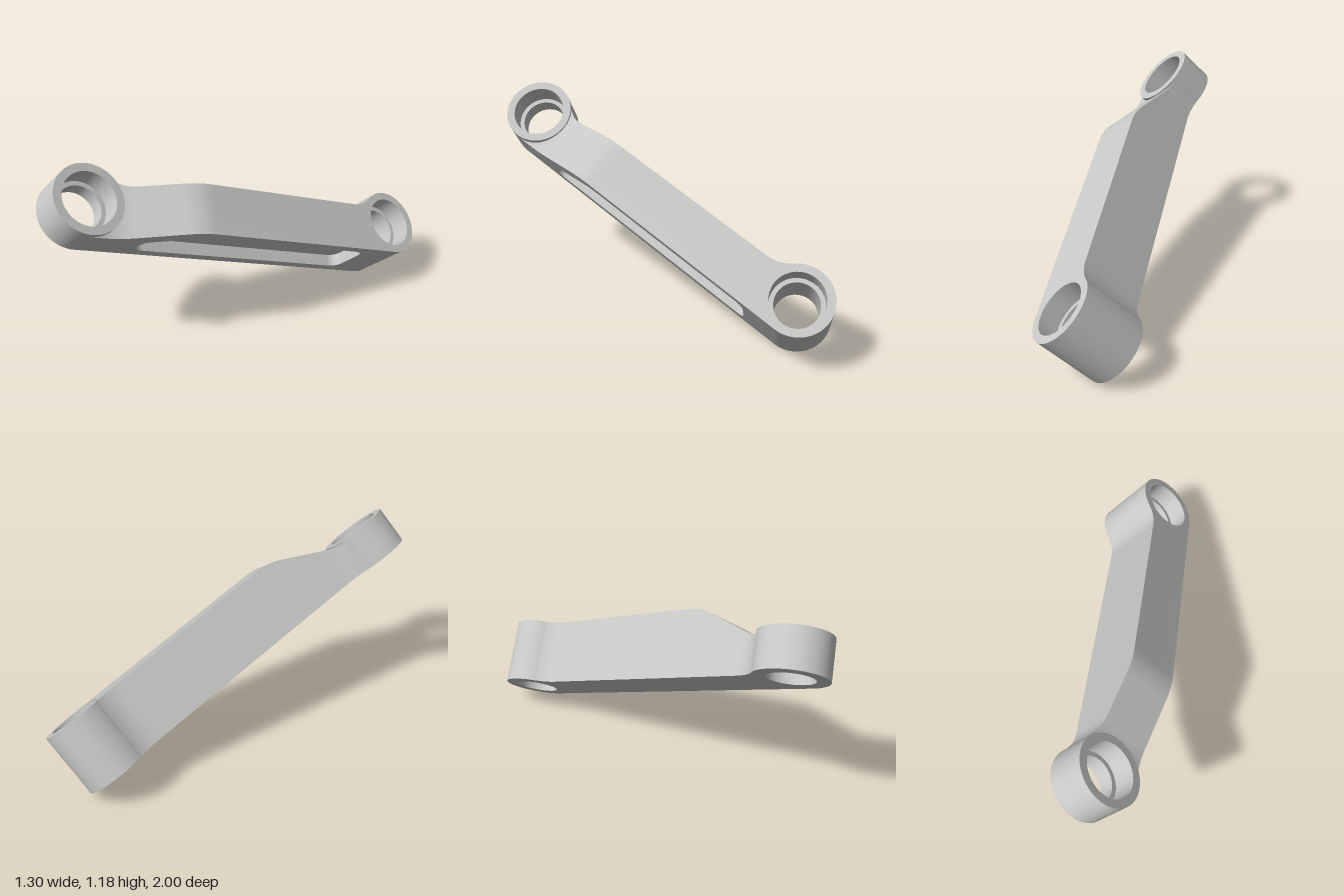
import * as THREE from 'three';
import { toCreasedNormals } from 'three/addons/utils/BufferGeometryUtils.js';

// Local frame: x along the arm, y along the bores, z across the arm
const S = 0.964;          // bore centres at x = +-S
const R = 0.195;          // boss radius
const LOW = 0.191, HIGH = 0.383;
const FLOOR = 0.125;      // z of the pocket floor
const BACK = 0.09, FILLET = 0.2;
const FILLET_X = Math.sqrt((R + FILLET) ** 2 - (BACK + FILLET) ** 2);

// Arm thickness: low end, blended ramp, high end
function topAt(s) {
  const k = (HIGH - LOW) / 0.4;
  if (s < -0.88) return LOW;
  if (s < -0.73) return LOW + k * (s + 0.88) ** 2 / 0.3;
  if (s < -0.48) return LOW + k * (s + 0.805);
  if (s < -0.33) return HIGH - k * (s + 0.33) ** 2 / 0.3;
  return HIGH;
}

// Rear edge of the arm, filleted into the bosses
function backAt(off) {
  if (off > FILLET_X) return -BACK;
  return -BACK - FILLET + Math.sqrt(FILLET ** 2 - (FILLET_X - off) ** 2);
}

// Clearance that keeps the arm inside the boss wall, out of the bore
const clearAt = (off) => Math.sqrt(Math.max(0, 0.17 ** 2 - off ** 2));

// Loft of rectangular sections { s, z0, z1 }
function loft(sections) {
  const pos = [];
  const ring = ({ s, z0, z1 }) => {
    const t = topAt(s);
    return [[s, 0, z0], [s, 0, z1], [s, t, z1], [s, t, z0]];
  };
  for (let i = 0; i + 1 < sections.length; i++) {
    const p = ring(sections[i]), q = ring(sections[i + 1]);
    for (let j = 0; j < 4; j++) {
      const k = (j + 1) % 4;
      pos.push(...p[j], ...q[j], ...q[k], ...p[j], ...q[k], ...p[k]);
    }
  }
  const g = new THREE.BufferGeometry();
  g.setAttribute('position', new THREE.Float32BufferAttribute(pos, 3));
  return toCreasedNormals(g, 0.5);
}

// Closed polygon with rounded corners
function roundedPath(points, r) {
  const path = new THREE.Path();
  const v = points.map(([x, y]) => new THREE.Vector2(x, y));
  v.forEach((c, i) => {
    const prev = v[(i + v.length - 1) % v.length], next = v[(i + 1) % v.length];
    const a = c.clone().add(prev.clone().sub(c).setLength(r));
    const b = c.clone().add(next.clone().sub(c).setLength(r));
    if (i === 0) path.moveTo(a.x, a.y); else path.lineTo(a.x, a.y);
    path.quadraticCurveTo(c.x, c.y, b.x, b.y);
  });
  path.closePath();
  return path;
}

// Ring boss with a counterbore
function bossGeometry(h, depth) {
  const pts = [[0.125, 0], [R, 0], [R, h], [0.15, h], [0.15, h - depth], [0.125, h - depth], [0.125, 0]];
  const g = new THREE.LatheGeometry(pts.map(([x, y]) => new THREE.Vector2(x, y)), 72);
  return toCreasedNormals(g, 0.5);
}

export function createModel() {
  const metal = new THREE.MeshStandardMaterial({ color: 0xc6c6c4 });
  metal.name = 'light grey metal';
  const model = new THREE.Group();
  model.name = 'linkArm';
  const add = (name, geometry, x = 0) => {
    const m = new THREE.Mesh(geometry, metal);
    m.name = name;
    m.position.x = x;
    model.add(m);
  };

  // Bosses at the two ends
  add('thinBoss', bossGeometry(0.221, 0.13), -S);
  add('thickBoss', bossGeometry(HIGH, 0.12), S);

  // Arm body in two halves, front (to the pocket floor) and rear
  const front = [], rear = [];
  const N = 96;
  for (let i = 0; i <= N; i++) {
    const s = -S + (2 * S * i) / N;
    const off = S - Math.abs(s);
    const c = clearAt(off);
    front.push({ s, z0: c, z1: Math.abs(s) < 0.8 ? FLOOR : R });
    if (off > 0.132) rear.push({ s, z0: backAt(off), z1: -c });
  }
  add('armFrontHalf', loft(front));
  add('armRearHalf', loft(rear));

  // Side wall around the pocket
  const E = 0.81;
  const wall = new THREE.Shape();
  wall.moveTo(-E, 0);
  wall.lineTo(E, 0);
  wall.lineTo(E, HIGH);
  for (let s = -0.33; s > -E; s -= 0.02) wall.lineTo(s, topAt(s));
  wall.lineTo(-E, topAt(-E));
  wall.closePath();
  wall.holes.push(roundedPath(
    [[-0.665, 0.063], [0.755, 0.063], [0.755, 0.326], [-0.33, 0.326], [-0.665, 0.17]], 0.065));
  const wallGeo = new THREE.ExtrudeGeometry(wall, { depth: R - FLOOR, bevelEnabled: false, curveSegments: 10 });
  wallGeo.translate(0, 0, FLOOR);
  add('pocketWall', toCreasedNormals(wallGeo, 0.5));

  // Lay the arm diagonally, bores tilted by 45 degrees
  const h = Math.SQRT1_2;
  const up = new THREE.Vector3(h, h, 0);
  const along = new THREE.Vector3(0.55 * h, -0.55 * h, -0.835).normalize();
  const across = new THREE.Vector3().crossVectors(along, up);
  model.quaternion.setFromRotationMatrix(new THREE.Matrix4().makeBasis(along, up, across));
  model.position.set(-0.137, 0.514, 0);

  const root = new THREE.Group();
  root.name = 'link';
  root.add(model);
  return root;
}
